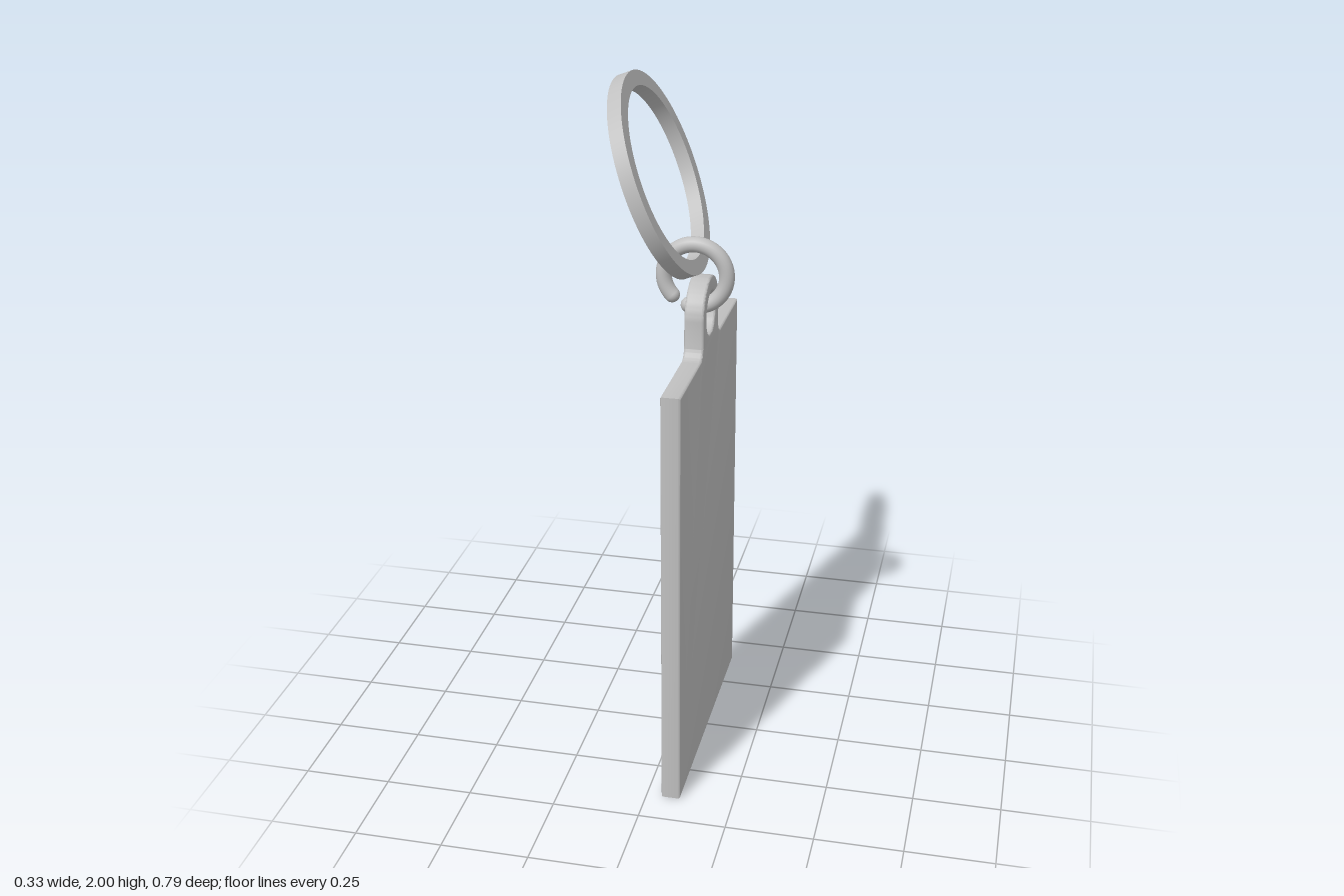
import * as THREE from 'three';
import { toCreasedNormals } from 'three/addons/utils/BufferGeometryUtils.js';

const metal = new THREE.MeshStandardMaterial({ color: 0xc0c0c0 });
metal.name = 'brushed metal';

function part(name, geometry, parent) {
  const mesh = new THREE.Mesh(geometry, metal);
  mesh.name = name;
  parent.add(mesh);
  return mesh;
}

// Rectangular tag with a filleted, rounded eyelet tab
function tagGeometry() {
  const w = 0.397, top = 1.245, tab = 0.105, eyeY = 1.342, fillet = 0.035;
  const depth = 0.055, bevel = 0.006;
  const s = new THREE.Shape();
  s.moveTo(-w, 0);
  s.lineTo(w, 0);
  s.lineTo(w, top);
  s.lineTo(tab + fillet, top);
  s.absarc(tab + fillet, top + fillet, fillet, -Math.PI / 2, -Math.PI, true);
  s.lineTo(tab, eyeY);
  s.absarc(0, eyeY, tab, 0, Math.PI, false);
  s.lineTo(-tab, top + fillet);
  s.absarc(-tab - fillet, top + fillet, fillet, 0, -Math.PI / 2, true);
  s.lineTo(-w, top);
  s.closePath();
  const hole = new THREE.Path();
  hole.absarc(0, eyeY, 0.061, 0, Math.PI * 2, true);
  s.holes.push(hole);
  const g = new THREE.ExtrudeGeometry(s, {
    depth: depth - 2 * bevel, curveSegments: 24,
    bevelEnabled: true, bevelSize: bevel, bevelThickness: bevel, bevelOffset: -bevel, bevelSegments: 3,
  });
  g.translate(0, 0, bevel - depth / 2);
  g.rotateY(Math.PI / 2);
  return toCreasedNormals(g, 0.6);
}

// Flat band ring with square section, around the y axis
function bandGeometry(inner, outer, thickness) {
  const h = thickness / 2;
  const profile = [[inner, -h], [outer, -h], [outer, h], [inner, h], [inner, -h]]
    .map(([x, y]) => new THREE.Vector2(x, y));
  return toCreasedNormals(new THREE.LatheGeometry(profile, 96), 0.6);
}

export function createModel() {
  const model = new THREE.Group();
  model.name = 'keyring';

  part('tag', tagGeometry(), model).position.set(0.0705, 0, 0);

  // Open jump ring joining tag and key ring, with rounded ends
  const link = new THREE.Group();
  link.name = 'jumpRing';
  link.position.set(0.052, 1.447, 0);
  model.add(link);
  const R = 0.089, r = 0.022;
  const start = THREE.MathUtils.degToRad(258), arc = THREE.MathUtils.degToRad(325);
  part('jumpRingWire', new THREE.TorusGeometry(R, r, 20, 64, arc), link).rotation.z = start;
  for (const a of [start, start + arc]) {
    part('jumpRingEnd', new THREE.SphereGeometry(r, 20, 14), link)
      .position.set(R * Math.cos(a), R * Math.sin(a), 0);
  }

  // Large key ring leaning towards -x
  const ring = part('keyRing', bandGeometry(0.244, 0.287, 0.04), model);
  ring.position.set(-0.0445, 1.725, 0);
  ring.rotation.z = THREE.MathUtils.degToRad(-68.8);

  return model;
}
